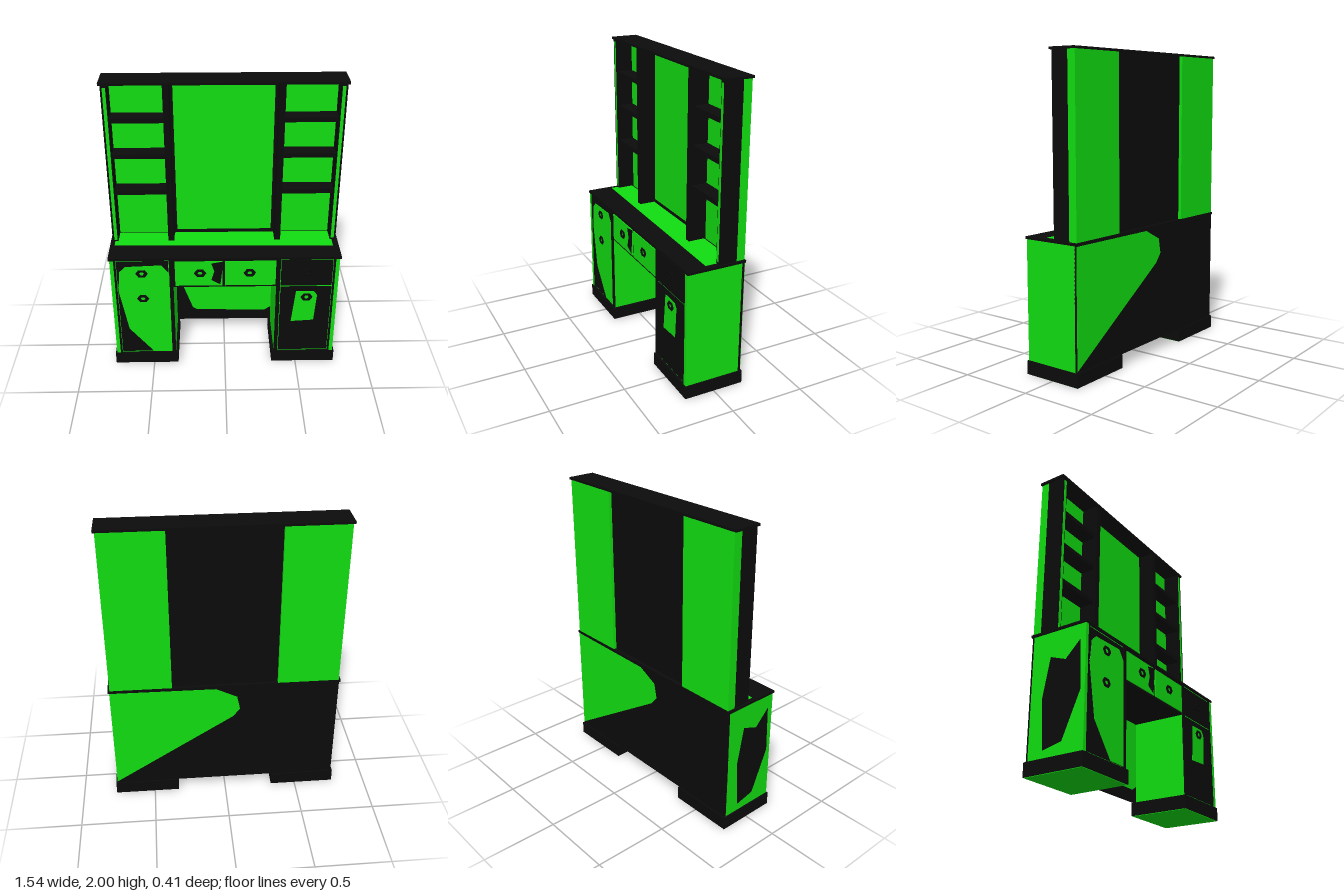
import * as THREE from 'three';

export function createModel() {
  const model = new THREE.Group();
  model.name = 'vanityDesk';
  const green = new THREE.MeshStandardMaterial({ color: 0x11dd11 });
  const black = new THREE.MeshStandardMaterial({ color: 0x0b0b0b });

  const add = (name, geometry, material) => {
    const mesh = new THREE.Mesh(geometry, material);
    mesh.name = name;
    model.add(mesh);
    return mesh;
  };
  // Box given by its limits on each axis
  const box = (name, material, [x0, x1], [y0, y1], [z0, z1]) => {
    const mesh = add(name, new THREE.BoxGeometry(x1 - x0, y1 - y0, z1 - z0), material);
    mesh.position.set((x0 + x1) / 2, (y0 + y1) / 2, (z0 + z1) / 2);
    return mesh;
  };
  // Box mirrored to both sides; the x limits are those of the left side
  const pair = (name, material, [x0, x1], y, z) => {
    box(name + 'Left', material, [x0, x1], y, z);
    box(name + 'Right', material, [-x1, -x0], y, z);
  };
  // Thin flat inlay from an outline in x and y, facing +z until turned
  const inlay = (name, material, points, z) => {
    const shape = new THREE.Shape(points.map(([x, y]) => new THREE.Vector2(x, y)));
    const mesh = add(name, new THREE.ExtrudeGeometry(shape, { depth: 0.002, bevelEnabled: false }), material);
    mesh.position.z = z;
    return mesh;
  };

  // Plinths and pedestals
  pair('plinth', black, [0.33, 0.77], [0.003, 0.09], [-0.205, 0.205]);
  pair('plinthUnderside', green, [0.335, 0.765], [0, 0.003], [-0.2, 0.2]);
  pair('pedestal', green, [0.345, 0.76], [0.09, 0.86], [-0.185, 0.19]);
  pair('pedestalOuterEdge', green, [0.735, 0.76], [0.09, 0.86], [0.19, 0.2]);
  pair('pedestalInnerStile', black, [0.345, 0.37], [0.09, 0.86], [0.19, 0.2]);
  pair('pedestalDoor', black, [0.375, 0.718], [0.1, 0.637], [0.188, 0.196]);
  pair('pedestalDrawer', black, [0.375, 0.718], [0.647, 0.85], [0.188, 0.196]);
  pair('pedestalFrame', black, [0.722, 0.735], [0.09, 0.86], [0.188, 0.198]);

  // Kneehole back and drawer unit
  box('lowerBack', black, [-0.76, 0.76], [0.09, 0.86], [-0.196, -0.18]);
  box('drawerUnit', black, [-0.345, 0.345], [0.64, 0.86], [-0.18, 0.19]);
  box('drawerRight', green, [-0.332, -0.015], [0.655, 0.845], [0.188, 0.196]);
  box('drawerLeft', green, [0, 0.34], [0.655, 0.845], [0.188, 0.196]);

  // Desktop with its lighter surface
  box('desktop', black, [-0.77, 0.77], [0.86, 0.876], [-0.2, 0.202]);
  const surface = inlay('desktopSurface', green, [[-0.74, -0.03], [0.73, -0.06], [0.73, 0.13], [-0.74, 0.13]], 0);
  surface.rotation.x = -Math.PI / 2;
  surface.position.y = 0.876;

  // Coloured inlays on doors, kneehole and outsides
  inlay('doorInlayRight', green, [[-0.5, 0.1], [-0.365, 0.1], [-0.375, 0.76], [-0.42, 0.82],
    [-0.66, 0.81], [-0.7, 0.77], [-0.715, 0.62], [-0.66, 0.3]], 0.1965);
  inlay('doorInlayLeft', green, [[0.455, 0.35], [0.61, 0.36], [0.625, 0.57], [0.6, 0.6], [0.48, 0.6]], 0.1965);
  inlay('drawerInlay', black, [[-0.03, 0.665], [-0.01, 0.845], [-0.09, 0.83], [-0.07, 0.77], [-0.09, 0.7]], 0.1965);
  inlay('kneeholeInlay', green, [[-0.2, 0.18], [0.3, 0.17], [0.345, 0.2], [0.345, 0.64],
    [-0.345, 0.64], [-0.345, 0.44], [-0.3, 0.4], [-0.23, 0.2]], -0.18);
  const backInlay = inlay('backInlay', green, [[-0.76, 0.1], [0.05, 0.62], [0.1, 0.68],
    [0.08, 0.78], [-0.06, 0.85], [-0.76, 0.855]], -0.196);
  backInlay.rotation.y = Math.PI;
  const sideInlay = inlay('sideInlay', black, [[-0.08, 0.14], [0.05, 0.17], [0.17, 0.45],
    [0.16, 0.76], [0.06, 0.66], [-0.05, 0.7], [-0.1, 0.45]], 0);
  sideInlay.rotation.y = -Math.PI / 2;
  sideInlay.position.x = -0.76;

  // Six-sided ring pulls
  const ring = new THREE.TorusGeometry(0.029, 0.013, 6, 6);
  ring.scale(1, 0.8, 0.45);
  for (const side of [-1, 1]) {
    for (const [x, y] of [[0.553, 0.757], [0.553, 0.555], [0.165, 0.757]]) {
      add('pull', ring, black).position.set(side * x, y, 0.201);
    }
  }

  // Upper cabinet: thick backs, side panels, dividers and shelves
  const upper = [0.876, 1.985];
  pair('upperBack', green, [0.35, 0.757], upper, [-0.196, -0.14]);
  pair('upperSide', black, [0.718, 0.757], upper, [-0.14, -0.02]);
  pair('upperSideFace', green, [0.724, 0.745], [0.89, 1.97], [-0.021, -0.018]);
  pair('divider', black, [0.34, 0.38], upper, [-0.15, -0.02]);
  for (const y of [1.24, 1.5, 1.745]) {
    pair('shelf', black, [0.38, 0.718], [y - 0.015, y + 0.015], [-0.14, -0.035]);
  }

  // Framed mirror
  box('mirrorBacking', black, [-0.35, 0.35], upper, [-0.175, -0.135]);
  box('mirror', green, [-0.322, 0.322], [0.905, 1.973], [-0.136, -0.128]);
  pair('mirrorFrameSide', black, [0.322, 0.341], [0.89, 1.985], [-0.136, -0.122]);
  box('mirrorFrameTop', black, [-0.34, 0.34], [1.973, 1.985], [-0.136, -0.122]);
  box('mirrorFrameBottom', black, [-0.34, 0.34], [0.89, 0.905], [-0.136, -0.122]);

  // Top board
  box('topBoard', black, [-0.77, 0.77], [1.985, 2], [-0.2, -0.012]);

  return model;
}
